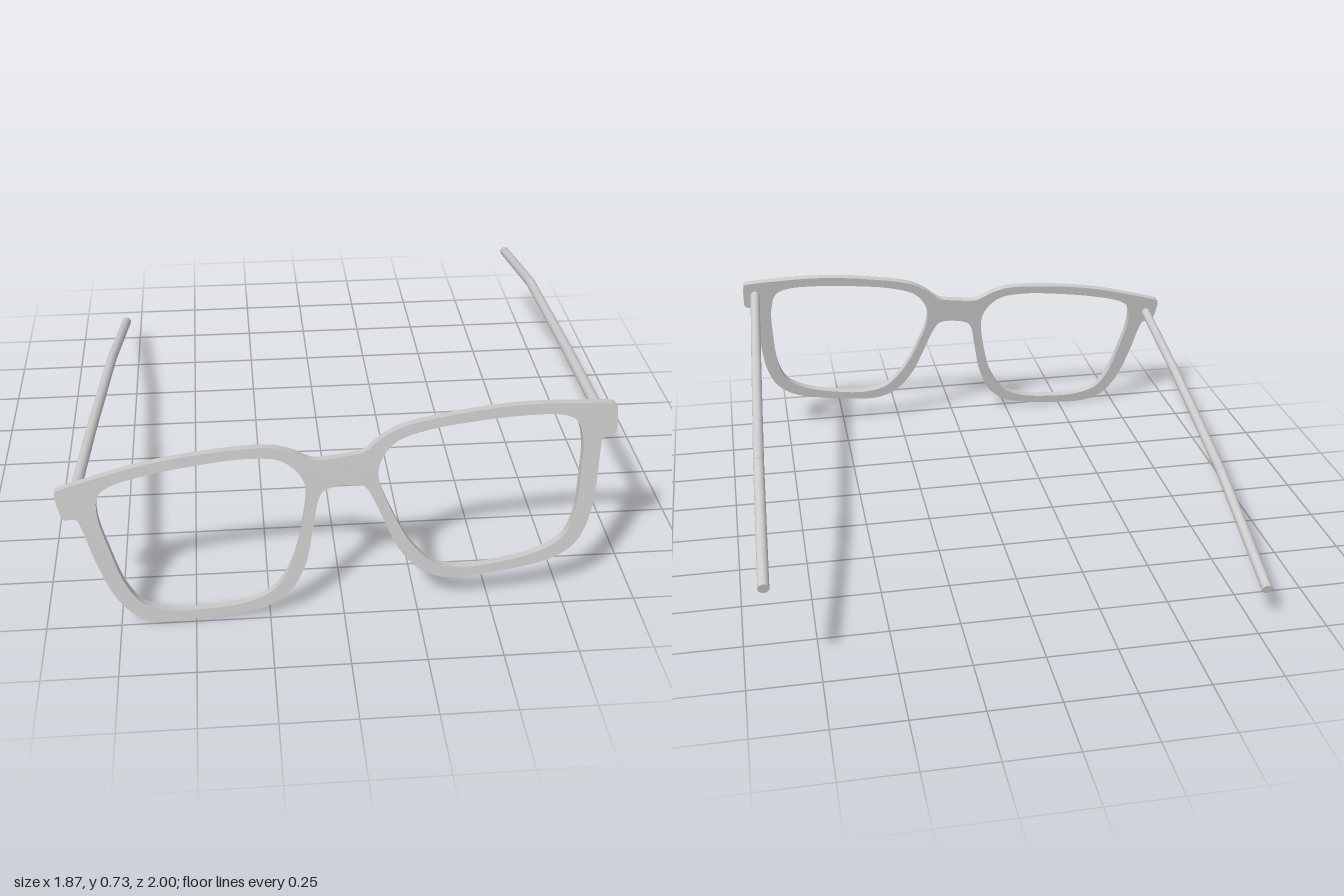
import * as THREE from 'three';
import { toCreasedNormals } from 'three/addons/utils/BufferGeometryUtils.js';

const material = new THREE.MeshStandardMaterial({ color: 0xcccccc });

// Smooth counter-clockwise loop through a few clockwise [x, y] points
function loop(points, count) {
  const curve = new THREE.CatmullRomCurve3(
    points.map(([x, y]) => new THREE.Vector3(x, y, 0)), true, 'centripetal');
  return curve.getPoints(count).slice(0, -1).map(p => new THREE.Vector2(p.x, p.y)).reverse();
}

const mirror = points => points.map(([x, y]) => [-x, y]).reverse();

// Flat rim with two lens openings, symmetric about the bridge
function buildFrame() {
  const outerHalf = [
    [0.04, 0.045], [0.085, 0.05], [0.15, 0.09], [0.215, 0.116], [0.42, 0.132],
    [0.62, 0.127], [0.82, 0.1], [0.905, 0.085], [0.92, 0.08], [0.924, 0.068],
    [0.919, -0.005], [0.916, -0.018], [0.906, -0.025], [0.88, -0.027], [0.87, -0.034],
    [0.86, -0.07], [0.838, -0.2], [0.802, -0.33],
    [0.752, -0.41], [0.676, -0.453], [0.55, -0.47], [0.42, -0.473], [0.3, -0.462],
    [0.22, -0.417], [0.16, -0.33], [0.12, -0.21], [0.09, -0.11], [0.068, -0.071], [0.035, -0.059],
  ];
  const opening = [
    [0.121, -0.055], [0.134, 0.005], [0.189, 0.065], [0.293, 0.091], [0.46, 0.096],
    [0.62, 0.089], [0.74, 0.071], [0.788, 0.043], [0.803, -0.03], [0.787, -0.16],
    [0.757, -0.3], [0.713, -0.378], [0.63, -0.419], [0.5, -0.437], [0.36, -0.434],
    [0.27, -0.4], [0.2, -0.31], [0.145, -0.165],
  ];
  const shape = new THREE.Shape(loop([...outerHalf, ...mirror(outerHalf)], 348));
  for (const hole of [opening, mirror(opening)]) shape.holes.push(new THREE.Path(loop(hole, 126)));

  const depth = 0.03;
  const geometry = new THREE.ExtrudeGeometry(shape, { depth, bevelEnabled: false });
  geometry.translate(0, 0, -depth / 2);
  const frame = new THREE.Mesh(toCreasedNormals(geometry, 0.6), material);
  frame.name = 'frame';

  // Resting tilt: rolled to one side, leaning back, turned slightly
  const across = new THREE.Vector3(0.992, 0.117, -0.026).normalize();
  const up = new THREE.Vector3(-0.12, 0.981, -0.14);
  const out = new THREE.Vector3().crossVectors(across, up).normalize();
  up.crossVectors(out, across);
  frame.quaternion.setFromRotationMatrix(new THREE.Matrix4().makeBasis(across, up, out));
  frame.position.set(-0.01, 0.53, 0.902);
  return frame;
}

// Thin round arm made of straight rods that bend down towards the ear
function buildTemple(name, points) {
  const temple = new THREE.Group();
  temple.name = name;
  const path = points.map(p => new THREE.Vector3(...p));
  for (let i = 0; i < path.length - 1; i++) {
    const direction = path[i + 1].clone().sub(path[i]);
    const rod = new THREE.Mesh(
      new THREE.CylinderGeometry(0.019, 0.019, direction.length(), 16), material);
    rod.name = 'templeRod';
    rod.position.copy(path[i]).addScaledVector(direction, 0.5);
    rod.quaternion.setFromUnitVectors(new THREE.Vector3(0, 1, 0), direction.normalize());
    temple.add(rod);
  }
  return temple;
}

export function createModel() {
  const model = new THREE.Group();
  model.name = 'eyeglasses';
  model.add(
    buildFrame(),
    buildTemple('leftTemple', [
      [0.854, 0.665, 0.868], [0.873, 0.608, 0.33], [0.898, 0.517, -0.4], [0.916, 0.376, -0.995]]),
    buildTemple('rightTemple', [
      [-0.883, 0.446, 0.91], [-0.859, 0.382, 0.37], [-0.826, 0.277, -0.33], [-0.8, 0.125, -0.925]]),
  );
  return model;
}
